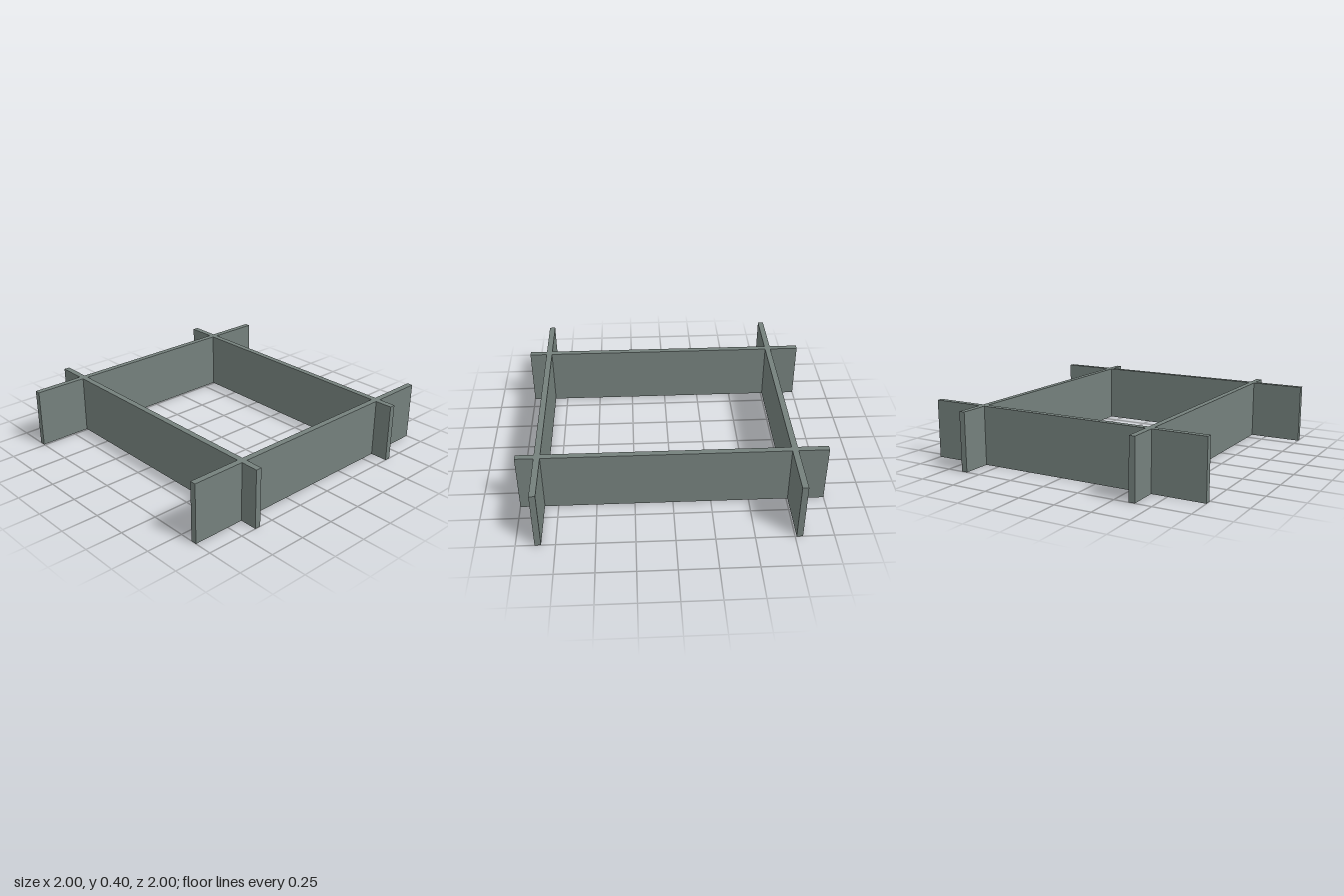
import * as THREE from 'three';

const LENGTH = 2, HEIGHT = 0.4, THICK = 0.04;

export function createModel() {
  const model = new THREE.Group();
  model.name = 'crossedBoardFrame';
  const greyGreen = new THREE.MeshStandardMaterial({ color: 0x74807c });
  greyGreen.name = 'greyGreen';

  // One upright board standing on the ground
  function addBoard(name, width, depth, x, z) {
    const board = new THREE.Mesh(new THREE.BoxGeometry(width, HEIGHT, depth), greyGreen);
    board.name = name;
    board.position.set(x, HEIGHT / 2, z);
    model.add(board);
  }

  // Boards running left to right
  addBoard('frontBoard', LENGTH, THICK, 0, 0.86);
  addBoard('backBoard', LENGTH, THICK, 0, -0.78);

  // Boards running front to back, crossing the other pair
  for (const [name, side] of [['leftBoard', 1], ['rightBoard', -1]]) {
    addBoard(name, THICK, LENGTH, side * 0.62, 0);
  }

  return model;
}
